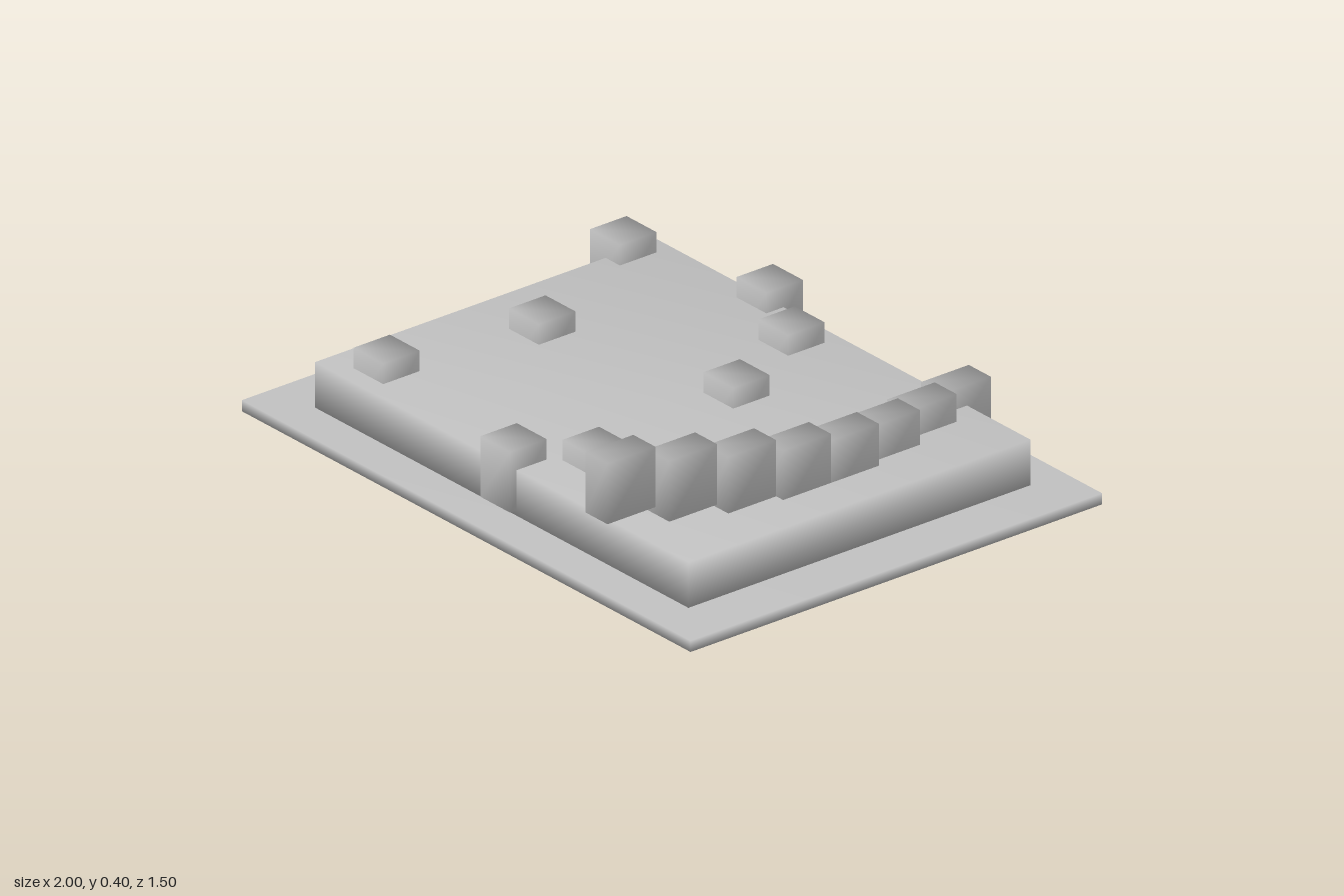
import * as THREE from 'three';
import { mergeVertices } from 'three/addons/utils/BufferGeometryUtils.js';

const stone = new THREE.MeshStandardMaterial({ color: 0xc0c0c0 });
stone.name = 'stoneGrey';

// Box with corners shared between faces, so the shading runs smoothly over its edges
function softBox(w, h, d) {
  const box = new THREE.BoxGeometry(w, h, d);
  box.deleteAttribute('normal');
  box.deleteAttribute('uv');
  const geometry = mergeVertices(box);
  geometry.computeVertexNormals();
  return geometry;
}

function place(parent, name, geometry, x, bottom, z) {
  geometry.computeBoundingBox();
  const mesh = new THREE.Mesh(geometry, stone);
  mesh.name = name;
  mesh.position.set(x, bottom + geometry.boundingBox.max.y, z);
  parent.add(mesh);
}

export function createModel() {
  const model = new THREE.Group();
  model.name = 'blockCourt';

  // Thin ground sheet and the raised platform on it
  place(model, 'groundSheet', softBox(2, 0.035, 1.5), 0, 0, 0);
  place(model, 'platform', softBox(1.664, 0.145, 1.247), 0, 0.033, -0.003);

  // Scattered small blocks, sunk into the platform
  const blocks = new THREE.Group();
  blocks.name = 'scatteredBlocks';
  const blockShape = softBox(0.133, 0.19, 0.133);
  const spots = [
    [-0.835, -0.505], [-0.335, -0.63], [-0.085, -0.505], [0.08, -0.17],
    [-0.585, -0.005], [-0.667, 0.495], [0, 0.578], [0.165, 0.413],
  ];
  for (const [x, z] of spots) place(blocks, 'block', blockShape, x, 0.052, z);
  model.add(blocks);

  // Bowed row of blocks, climbing from back to front
  const row = new THREE.Group();
  row.name = 'risingRow';
  const stepShape = softBox(0.098, 0.19, 0.174);
  const bow = [0.5, 0.562, 0.611, 0.642];
  for (let i = 0; i < 8; i++) {
    place(row, 'step', stepShape, bow[Math.min(i, 7 - i)], 0.052 + i * 0.0226, -0.626 + i * 0.1747);
  }
  model.add(row);

  return model;
}
